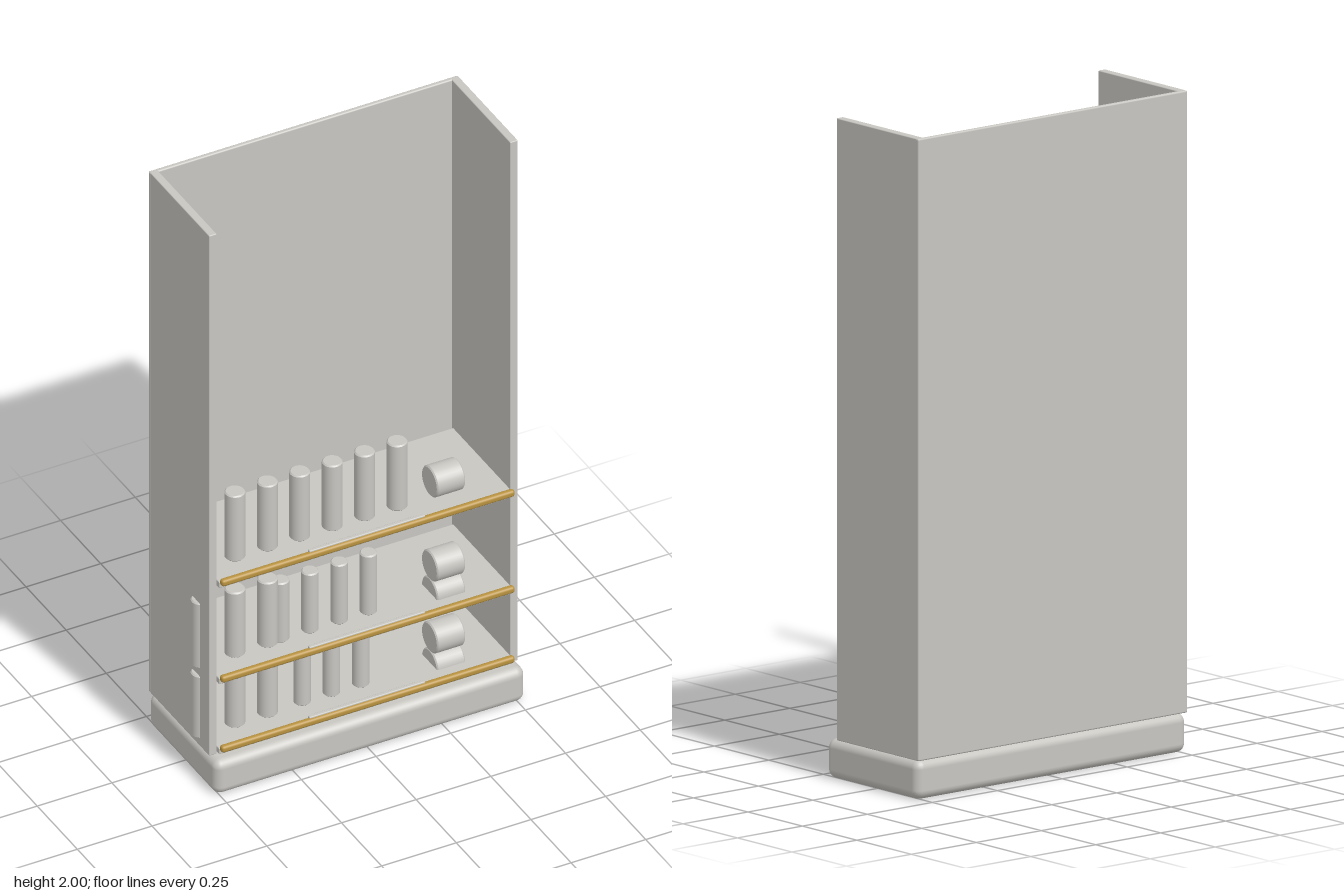
import * as THREE from 'three';
import { RoundedBoxGeometry } from 'three/addons/geometries/RoundedBoxGeometry.js';

export function createModel() {
  const root = new THREE.Group();
  root.name = 'displayCabinet';

  const grey = new THREE.MeshStandardMaterial({ color: 0xc8c6c1 });
  grey.name = 'stone grey';
  const gold = new THREE.MeshStandardMaterial({ color: 0xb8923f });
  gold.name = 'brass';

  const CX = 0.004; // middle of the cabinet body

  function add(parent, name, geometry, material, x, y, z) {
    const mesh = new THREE.Mesh(geometry, material);
    mesh.name = name;
    mesh.position.set(x, y, z);
    parent.add(mesh);
    return mesh;
  }

  // Box given by its lower and upper limits, with rounded edges
  function slab(parent, name, material, [x0, x1], [y0, y1], [z0, z1], radius) {
    const geometry = new RoundedBoxGeometry(x1 - x0, y1 - y0, z1 - z0, 3, radius);
    return add(parent, name, geometry, material, (x0 + x1) / 2, (y0 + y1) / 2, (z0 + z1) / 2);
  }

  // Capped cylinder with a small bevel; separate profile pieces keep the edges crisp
  function can(radius, height) {
    const b = 0.004, h = height / 2;
    const p = [[0, -h], [radius - b, -h], [radius - b, -h], [radius, -h + b], [radius, -h + b],
      [radius, h - b], [radius, h - b], [radius - b, h], [radius - b, h], [0, h]];
    return new THREE.LatheGeometry(p.map(([x, y]) => new THREE.Vector2(x, y)), 32);
  }

  // Plinth, back and sides
  slab(root, 'base', grey, [CX - 0.52, CX + 0.52], [0, 0.12], [-0.212, 0.213], 0.028);
  slab(root, 'backPanel', grey, [CX - 0.518, CX + 0.518], [0.12, 2], [-0.213, -0.198], 0.005);
  for (const side of [-1, 1]) {
    const outer = CX + side * 0.517, inner = CX + side * 0.491;
    slab(root, side < 0 ? 'rightSidePanel' : 'leftSidePanel', grey,
      [Math.min(outer, inner), Math.max(outer, inner)], [0.12, 2], [-0.205, 0.165], 0.003);
  }

  // Each shelf: height of its top, tall and short bottle positions, heights, roll centres
  const tallX = [-0.496, -0.383, -0.274];
  const shelves = [
    { y: 0.147, tall: tallX, short: [-0.158, -0.06, 0.038], tallH: 0.225, shortH: 0.205, rolls: [0.14, 0.235] },
    { y: 0.4, tall: tallX, short: [-0.23, -0.132, -0.034, 0.064], tallH: 0.235, shortH: 0.215, rolls: [0.4, 0.495] },
    { y: 0.748, tall: [-0.383, -0.274, -0.166, -0.057, 0.051, 0.16], short: [], tallH: 0.237, shortH: 0.2, rolls: [0.799] },
  ];
  const Z = 0.083;

  shelves.forEach((s, i) => {
    const shelf = new THREE.Group();
    shelf.name = 'shelf' + (i + 1);
    root.add(shelf);

    slab(shelf, 'shelfBoard', grey, [CX - 0.491, CX + 0.491], [s.y - 0.022, s.y], [-0.19, 0.179], 0.003);

    // Brass rail along the front edge
    slab(shelf, 'frontRail', gold, [CX - 0.491, CX + 0.491], [s.y - 0.008, s.y + 0.015], [0.178, 0.199], 0.009);

    // Plain label holder just above the rail, with its backing strip
    slab(shelf, 'labelPlate', grey, [CX - 0.194, CX + 0.194], [s.y, s.y + 0.02], [0.178, 0.19], 0.003);
    slab(shelf, 'labelBacking', grey, [CX - 0.17, CX + 0.17], [s.y, s.y + 0.015], [0.169, 0.179], 0.003);

    // Standing bottles
    for (const x of s.tall) add(shelf, 'tallBottle', can(0.031, s.tallH), grey, x, s.y + s.tallH / 2, Z);
    for (const x of s.short) add(shelf, 'shortBottle', can(0.026, s.shortH), grey, x, s.y + s.shortH / 2, Z);

    // Rolls lying on their sides
    for (const y of s.rolls) {
      const roll = add(shelf, 'roll', can(0.05, 0.095), grey, 0.316, y, Z);
      roll.rotation.z = Math.PI / 2;
    }
  });

  return root;
}
